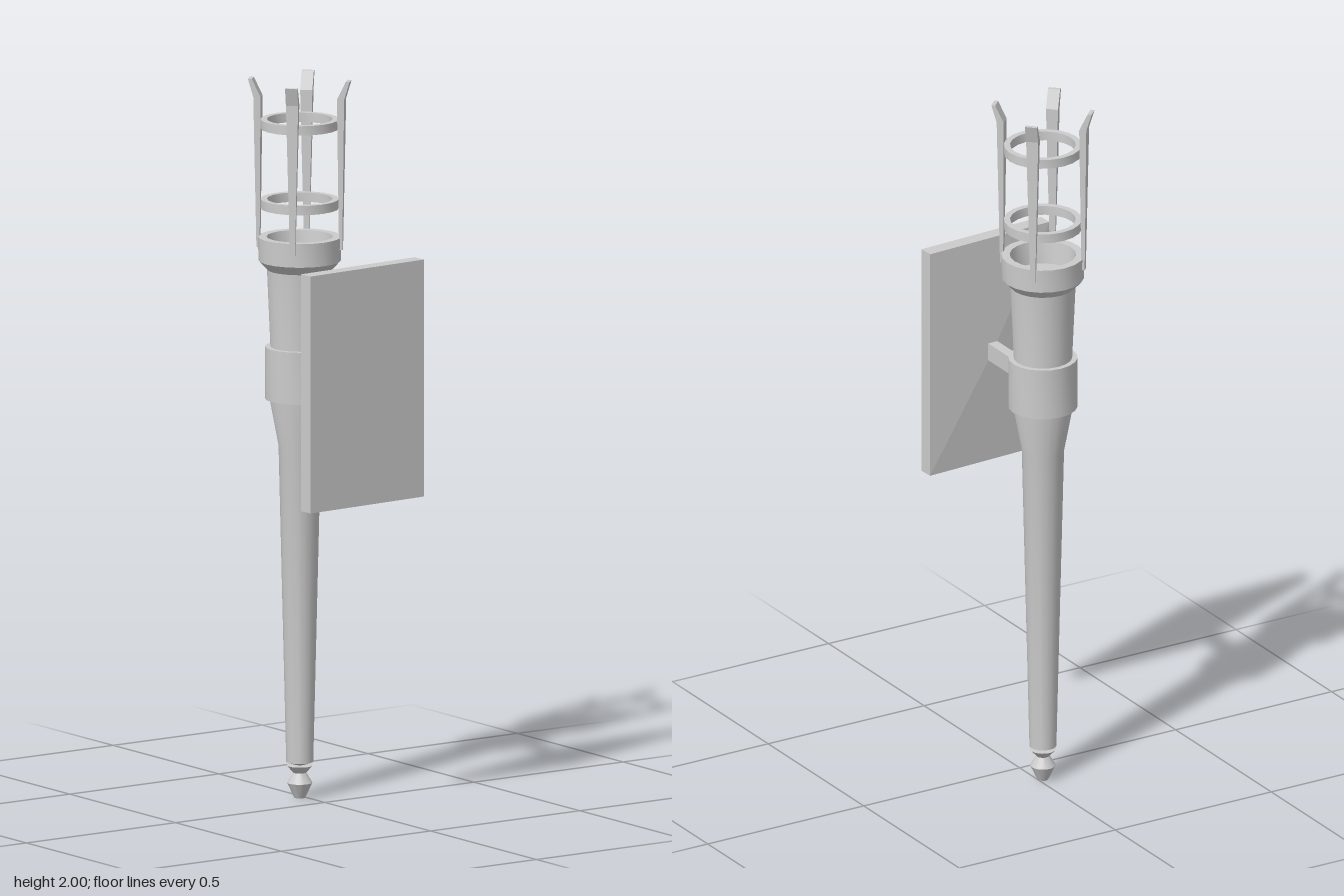
import * as THREE from 'three';
import { toCreasedNormals } from 'three/addons/utils/BufferGeometryUtils.js';

const SEGMENTS = 20;

function addMesh(parent, name, geometry, material) {
  const mesh = new THREE.Mesh(geometry, material);
  mesh.name = name;
  parent.add(mesh);
  return mesh;
}

// Turned part from [radius, height] pairs, listed from the bottom up the outside
function turned(profile) {
  const points = profile.map(([r, y]) => new THREE.Vector2(r, y));
  return toCreasedNormals(new THREE.LatheGeometry(points, SEGMENTS), 0.5);
}

// Flat prong: narrow at the foot, wide at the shoulder, tip bent outwards
function prongGeometry() {
  const levels = [ // y, half width, inner radius, outer radius
    [1.53, 0.007, 0.110, 0.119],
    [1.95, 0.017, 0.106, 0.126],
    [2.00, 0.017, 0.130, 0.141],
  ];
  const geo = new THREE.BoxGeometry(2, 2, 2, 1, levels.length - 1, 1);
  const pos = geo.attributes.position;
  for (let i = 0; i < pos.count; i++) {
    const [y, half, inner, outer] = levels[Math.round(pos.getY(i)) + 1];
    pos.setXYZ(i, pos.getX(i) * half, y, pos.getZ(i) > 0 ? outer : inner);
  }
  return toCreasedNormals(geo, 0.2);
}

// Rectangular plate with a very shallow pyramid on its back
function plateGeometry(width, height, depth, rise) {
  const geo = new THREE.BoxGeometry(width, height, depth, 2, 2, 1);
  const pos = geo.attributes.position;
  for (let i = 0; i < pos.count; i++) {
    const centred = Math.abs(pos.getX(i)) < 1e-6 && Math.abs(pos.getY(i)) < 1e-6;
    if (centred && pos.getZ(i) < 0) pos.setZ(i, -depth / 2 - rise);
  }
  // Run the back diagonals from the corners to the apex
  const index = Array.from(geo.index.array);
  const back = geo.groups[5].start;
  const first = Math.min(...index.slice(back, back + 24));
  const rim = [0, 3, 6, 7, 8, 5, 2, 1];
  rim.forEach((a, k) => {
    index.splice(back + k * 3, 3, first + a, first + rim[(k + 1) % 8], first + 4);
  });
  geo.setIndex(index);
  return toCreasedNormals(geo, 0.02);
}

export function createModel() {
  const model = new THREE.Group();
  model.name = 'wallTorch';
  const grey = new THREE.MeshStandardMaterial({ color: 0xcccccc });

  const torch = new THREE.Group();
  torch.name = 'torch';
  torch.position.set(-0.015, 0, -0.097);
  model.add(torch);

  // Handle with its finial
  addMesh(torch, 'finial', turned([
    [0, 0], [0.015, 0], [0.035, 0.042], [0.018, 0.07], [0.036, 0.09], [0, 0.092],
  ]), grey);
  addMesh(torch, 'shaft', turned([
    [0, 0.088], [0.037, 0.1], [0.058, 0.98], [0.084, 1.12], [0.080, 1.25], [0.090, 1.48], [0, 1.48],
  ]), grey);
  addMesh(torch, 'collar', turned([
    [0.08, 1.112], [0.095, 1.112], [0.095, 1.257], [0.078, 1.257],
  ]), grey);

  // Open cup
  addMesh(torch, 'cup', turned([
    [0.088, 1.47], [0.113, 1.497], [0.114, 1.563], [0.091, 1.563], [0.083, 1.5], [0, 1.5],
  ]), grey);

  // Cage hoops
  for (const y of [1.642, 1.864]) {
    addMesh(torch, 'cageRing', turned([
      [0.09, y], [0.107, y], [0.107, y + 0.026], [0.09, y + 0.026], [0.09, y],
    ]), grey);
  }

  // Four prongs on the diagonals
  const prong = prongGeometry();
  for (let i = 0; i < 4; i++) {
    addMesh(torch, 'prong', prong, grey).rotation.y = Math.PI / 4 + (i * Math.PI) / 2;
  }

  // Bracket arm
  addMesh(model, 'arm', new THREE.BoxGeometry(0.03, 0.05, 0.17), grey)
    .position.set(-0.0015, 1.19, 0.065);

  // Mounting plate, turned slightly
  const plate = addMesh(model, 'wallPlate', plateGeometry(0.395, 0.66, 0.042, 0.016), grey);
  plate.position.set(0, 1.19, 0.179);
  plate.rotation.y = 0.05;

  return model;
}
